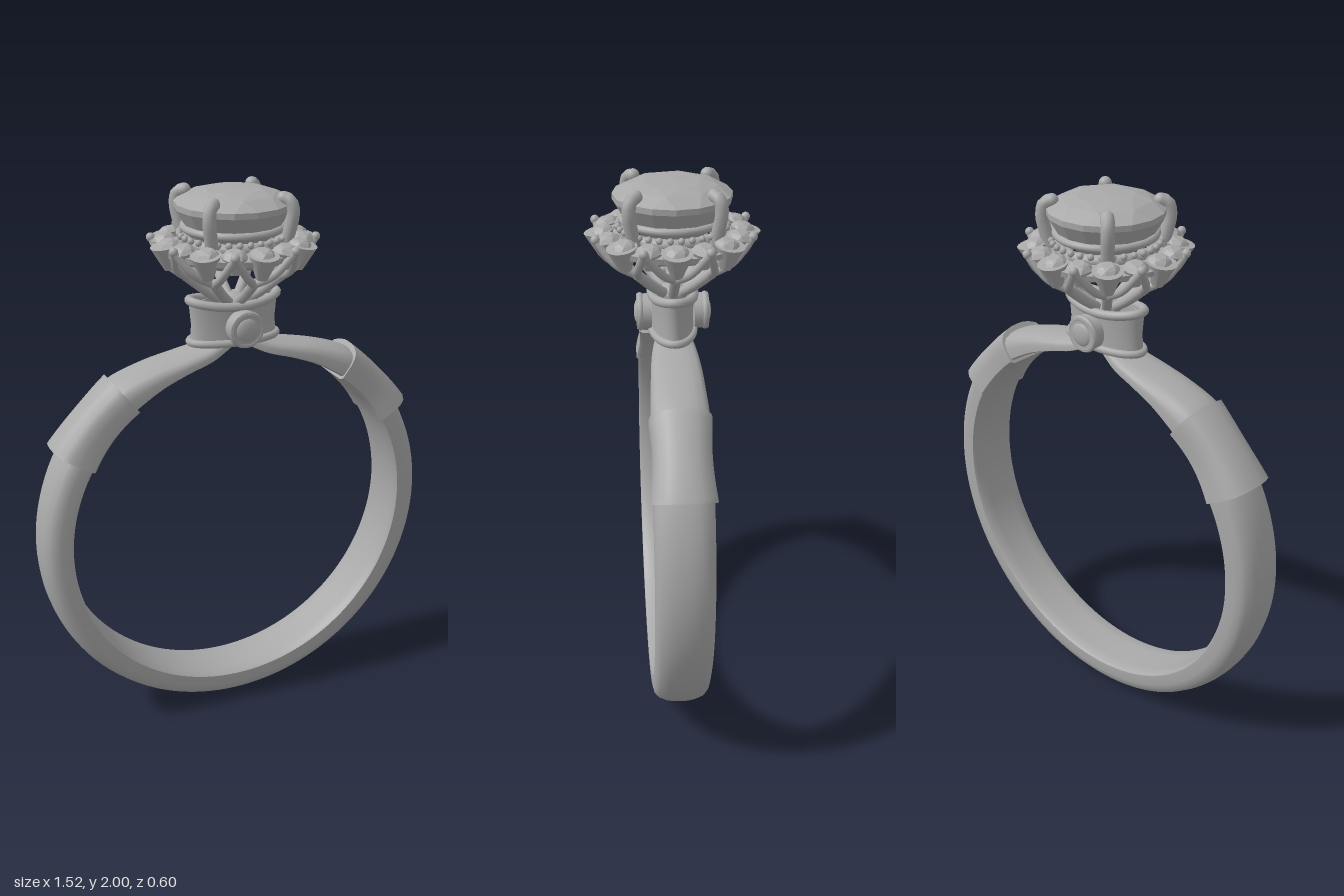
import * as THREE from 'three';
import { toCreasedNormals } from 'three/addons/utils/BufferGeometryUtils.js';
import { ConvexGeometry } from 'three/addons/geometries/ConvexGeometry.js';

const metal = new THREE.MeshStandardMaterial({ color: 0xa9a9a9 });
metal.name = 'polished grey metal';
const V = (x, y, z = 0) => new THREE.Vector3(x, y, z);
const polar = (r, y, deg) => V(r * Math.cos(deg * Math.PI / 180), y, r * Math.sin(deg * Math.PI / 180));

// D-shaped band section: [inner-to-outer fraction, fraction of half width]
const half = [[0, 0.5], [0, 0.88], [0.07, 1], [0.45, 1], [0.68, 0.94], [0.84, 0.8], [0.95, 0.5], [0.99, 0.25]];
const section = [[0, 0], ...half, [1, 0], ...half.slice().reverse().map(([t, s]) => [t, -s])];

// Skin a closed, capped solid over stations of { a: inner point, b: outer point, w: half width }
function loft(stations) {
  const rings = stations.map(({ a, b, w }) => section.map(([t, s]) => a.clone().lerp(b, t).setZ(w * s)));
  const n = section.length, tris = [];
  for (let i = 0; i < rings.length - 1; i++) {
    for (let j = 0; j < n; j++) {
      const k = (j + 1) % n, p = rings[i], q = rings[i + 1];
      tris.push([p[j], q[j], q[k]], [p[j], q[k], p[k]]);
    }
  }
  const first = rings[0], last = rings[rings.length - 1];
  const c0 = stations[0].a.clone().lerp(stations[0].b, 0.5);
  const end = stations[stations.length - 1];
  const c1 = end.a.clone().lerp(end.b, 0.5);
  for (let j = 0; j < n; j++) {
    const k = (j + 1) % n;
    tris.push([c0, first[j], first[k]], [c1, last[k], last[j]]);
  }
  // Turn the faces outward whichever way the path runs
  const volume = tris.reduce((sum, [p, q, r]) => sum + p.dot(q.clone().cross(r)), 0);
  if (volume < 0) tris.forEach((t) => t.reverse());
  const geo = new THREE.BufferGeometry().setFromPoints(tris.flat());
  return toCreasedNormals(geo, 0.7);
}

// Arc around the finger hole; rOut and w are functions of progress 0..1
function arc(from, to, steps, rIn, rOut, w) {
  return Array.from({ length: steps + 1 }, (_, i) => {
    const u = i / steps, t = (from + (to - from) * u) * Math.PI / 180;
    const at = (r) => V(r * Math.cos(t), 0.76 + r * Math.sin(t));
    return { a: at(rIn), b: at(rOut(u)), w: w(u) };
  });
}

// Faceted round stone from staggered rings: [radius, y, count, offset in degrees]
function gem(rings, tips) {
  const pts = tips.map((y) => V(0, y));
  for (const [r, y, n, off] of rings) {
    for (let i = 0; i < n; i++) pts.push(polar(r, y, off + i * 360 / n));
  }
  return new ConvexGeometry(pts);
}

const tube = (pts, r, closed = false) =>
  new THREE.TubeGeometry(new THREE.CatmullRomCurve3(pts, closed), closed ? 64 : 12, r, 10, closed);

export function createModel() {
  const ring = new THREE.Group();
  ring.name = 'ring';
  const add = (name, geo, parent = ring) => {
    const m = new THREE.Mesh(geo, metal);
    m.name = name;
    parent.add(m);
    return m;
  };
  // Copies of a part around the vertical axis
  const around = (name, n, offset, build) => {
    for (let i = 0; i < n; i++) {
      const g = new THREE.Group();
      g.name = name;
      g.rotation.y = (offset + i * 360 / n) * Math.PI / 180;
      build(g);
      ring.add(g);
    }
  };

  // Band: open at the top, ends hidden in the cuffs
  add('band', loft(arc(33, -213, 96, 0.655, () => 0.76, () => 0.1)));

  // Cuffs and shoulders on both sides
  const shoulder = [
    [0.43, 1.265, 0.49, 1.345, 0.098], [0.4, 1.285, 0.445, 1.375, 0.098],
    [0.3, 1.345, 0.32, 1.415, 0.092], [0.2, 1.385, 0.21, 1.437, 0.086],
    [0.11, 1.412, 0.12, 1.457, 0.076], [0.05, 1.44, 0.06, 1.478, 0.062], [0, 1.47, 0.02, 1.5, 0.05]];
  const inner = new THREE.CatmullRomCurve3(shoulder.map((p) => V(p[0], p[1], p[4])));
  const outer = new THREE.CatmullRomCurve3(shoulder.map((p) => V(p[2], p[3])));
  for (const [side, s] of [['left', 1], ['right', -1]]) {
    const flip = (st) => st.map(({ a, b, w }) => ({ a: V(a.x * s, a.y), b: V(b.x * s, b.y), w }));
    add(side + 'Cuff', loft(flip(arc(30, 53, 16, 0.648,
      (u) => 0.8 - 0.018 * u - 0.008 * Math.sin(u * Math.PI),
      (u) => 0.111 - 0.006 * u - 0.01 * Math.sin(u * Math.PI)))));
    add(side + 'Shoulder', loft(flip(Array.from({ length: 25 }, (_, i) => {
      const a = inner.getPoint(i / 24), b = outer.getPoint(i / 24);
      return { a: V(a.x, a.y), b: V(b.x, b.y), w: a.z };
    }))));
  }

  // Oval collar with curved rims
  const wall = [[0.13, 1.465], [0.165, 1.465], [0.158, 1.53], [0.165, 1.605], [0.13, 1.605], [0.13, 1.465]];
  const collar = toCreasedNormals(new THREE.LatheGeometry(wall.map(([x, y]) => new THREE.Vector2(x, y)), 48), 0.6);
  add('collar', collar).scale.z = 0.45;
  const oval = (y, lift) => Array.from({ length: 24 }, (_, i) => {
    const t = i * Math.PI / 12;
    return V(0.165 * Math.cos(t), y + lift * Math.cos(2 * t), 0.074 * Math.sin(t));
  });
  add('collarTopRim', tube(oval(1.612, 0.01), 0.016, true));
  add('collarBottomRim', tube(oval(1.472, 0), 0.014, true));

  // Round studs on the front and back of the collar
  for (const [name, s] of [['frontStud', 1], ['backStud', -1]]) {
    const stud = new THREE.Group();
    stud.name = name;
    stud.position.set(0, 1.53, s * 0.1);
    add('studBase', new THREE.CylinderGeometry(0.062, 0.062, 0.05, 32), stud).rotation.x = Math.PI / 2;
    add('studRim', new THREE.TorusGeometry(0.055, 0.012, 10, 32), stud).position.z = s * 0.014;
    const dome = add('studDome', new THREE.SphereGeometry(0.044, 24, 12), stud);
    dome.scale.z = 0.35;
    dome.position.z = s * 0.02;
    ring.add(stud);
  }

  // Basket: eight stalks, each forking into two arms
  const hub = add('basketHub', new THREE.SphereGeometry(0.055, 20, 12));
  hub.position.y = 1.6;
  hub.scale.y = 0.6;
  around('basketStalk', 8, 0, (g) => {
    add('stalk', tube([V(0.03, 1.6), V(0.1, 1.648), V(0.175, 1.71)], 0.018), g);
    add('stalkJoint', new THREE.SphereGeometry(0.018, 10, 8), g).position.set(0.175, 1.71, 0);
    for (const s of [-1, 1]) {
      add('arm', tube([V(0.17, 1.705), polar(0.232, 1.748, s * 12), polar(0.28, 1.825, s * 22.5)], 0.014), g);
    }
  });
  around('haloBead', 8, 22.5, (g) => {
    add('bead', new THREE.SphereGeometry(0.016, 12, 8), g).position.set(0.283, 1.83, 0);
  });

  // Halo seat and its sixteen small stones in cups
  const seat = [[0.17, 1.785], [0.2, 1.765], [0.255, 1.79], [0.26, 1.81], [0.17, 1.82], [0.17, 1.785]];
  add('haloSeat', toCreasedNormals(new THREE.LatheGeometry(seat.map(([x, y]) => new THREE.Vector2(x, y)), 48), 0.6));
  const smallGem = gem([[0.043, 0, 12, 0], [0.034, 0.013, 6, 15], [0.02, 0.02, 6, 45]], [-0.03]);
  const bigCup = toCreasedNormals(new THREE.CylinderGeometry(0.052, 0.02, 0.085, 20), 0.6);
  const smallCup = toCreasedNormals(new THREE.CylinderGeometry(0.045, 0.018, 0.06, 20), 0.6);
  around('haloStone', 16, 0, (g) => {
    const m = add('smallStone', smallGem, g);
    m.position.set(0.24, 1.825, 0);
    m.rotation.z = -0.2;
  });
  around('haloCup', 8, 0, (g) => {
    const m = add('largeCup', bigCup, g);
    m.position.set(0.241, 1.785, 0);
    m.rotation.z = -0.2;
  });
  around('haloCup', 8, 22.5, (g) => {
    add('smallCup', smallCup, g).position.set(0.232, 1.793, 0);
  });

  // Gallery rails and beads under the main stone
  for (const [r, y, t] of [[0.165, 1.825, 0.02], [0.17, 1.87, 0.014]]) {
    const rail = add('galleryRail', new THREE.TorusGeometry(r, t, 10, 48));
    rail.rotation.x = Math.PI / 2;
    rail.position.y = y;
  }
  around('galleryBead', 32, 5.6, (g) => {
    add('bead', new THREE.SphereGeometry(0.012, 8, 6), g).position.set(0.186, 1.845, 0);
  });

  // Main stone and its four claws
  add('mainStone', gem([[0.203, 1.935, 16, 0], [0.203, 1.955, 16, 0], [0.155, 1.983, 8, 11.25],
    [0.1, 1.995, 8, 33.75], [0.165, 1.87, 16, 0], [0.1, 1.8, 8, 0]], [2, 1.755]));
  around('claw', 4, 45, (g) => {
    add('clawShaft', tube([V(0.18, 1.8), V(0.2, 1.86), V(0.214, 1.93), V(0.205, 1.967), V(0.18, 1.978)], 0.023), g);
    add('clawTip', new THREE.SphereGeometry(0.023, 14, 10), g).position.set(0.18, 1.977, 0);
  });
  return ring;
}
